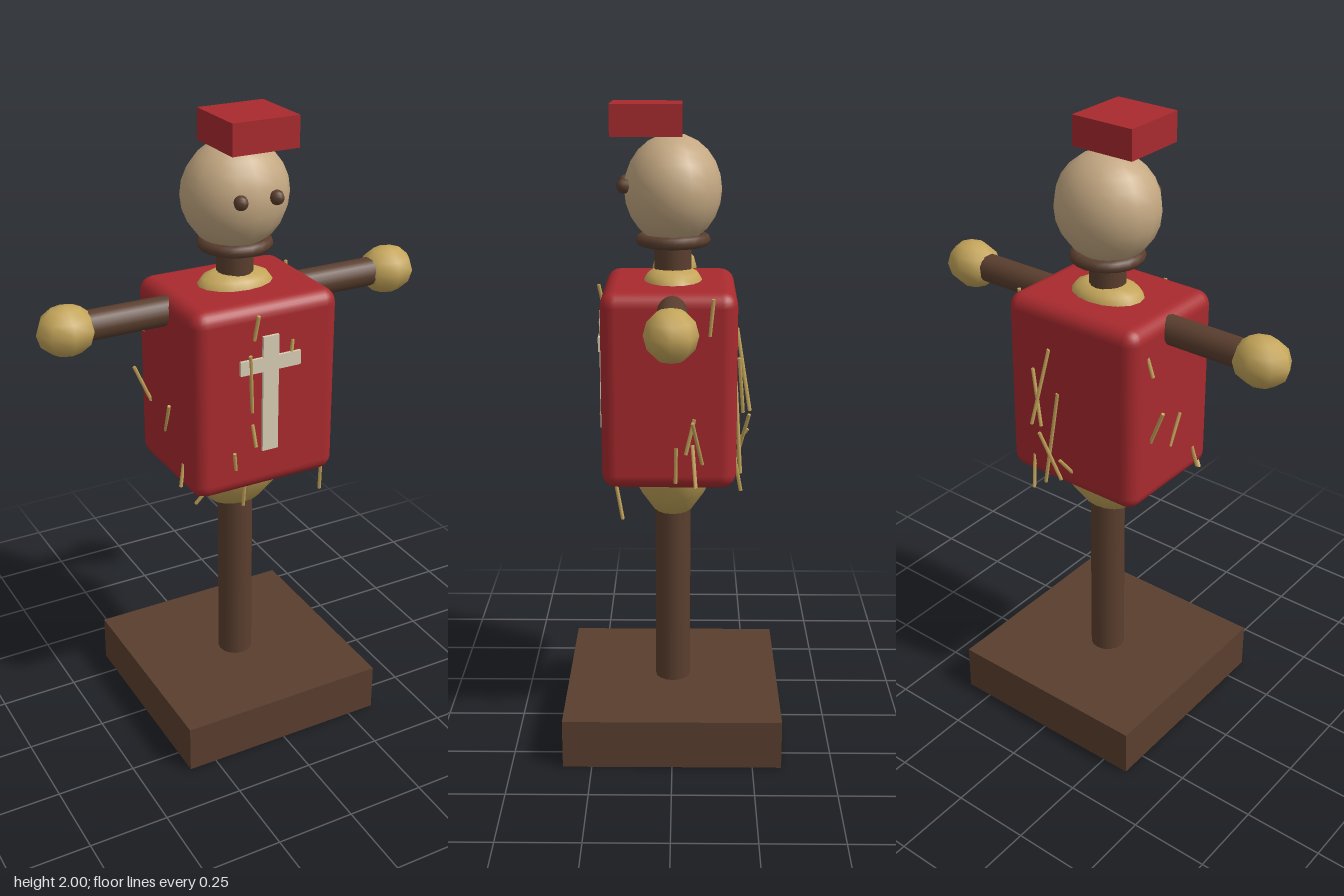
import * as THREE from 'three';
import { RoundedBoxGeometry } from 'three/addons/geometries/RoundedBoxGeometry.js';

export function createModel() {
  const model = new THREE.Group();
  model.name = 'trainingDummy';

  const material = (name, color, side = THREE.FrontSide) => {
    const m = new THREE.MeshStandardMaterial({ color, side });
    m.name = name;
    return m;
  };
  const wood = material('darkWood', 0x5a3e2e);
  const straw = material('straw', 0xc4a55a, THREE.DoubleSide);
  const burlap = material('burlap', 0xc4a882);
  const red = material('redCloth', 0xa82a2e);
  const pale = material('paleCloth', 0xd8cdb4);

  const add = (name, geometry, mat, x = 0, y = 0, z = 0, parent = model) => {
    const mesh = new THREE.Mesh(geometry, mat);
    mesh.name = name;
    mesh.position.set(x, y, z);
    parent.add(mesh);
    return mesh;
  };

  // Wooden stand: base, upright post and crossbar
  add('base', new THREE.BoxGeometry(0.68, 0.155, 0.68), wood, 0, 0.0775, 0);
  add('post', new THREE.CylinderGeometry(0.056, 0.056, 1.5, 16), wood, 0, 0.9, 0);
  add('crossbar', new THREE.CylinderGeometry(0.045, 0.045, 1.0, 16), wood, 0, 1.422, 0).rotation.z = Math.PI / 2;

  // Straw bundles on the ends of the crossbar
  for (const side of [-1, 1]) {
    const hand = add(side > 0 ? 'leftHand' : 'rightHand', new THREE.SphereGeometry(0.076, 8, 6), straw, side * 0.543, 1.42, 0);
    hand.scale.x = 1.2;
  }

  // Straw stuffing showing above and below the tunic
  const profile = [
    [0.01, 0.745], [0.085, 0.745], [0.14, 0.805], [0.19, 0.875], [0.215, 1.0],
    [0.21, 1.3], [0.12, 1.475], [0.105, 1.495], [0.07, 1.51], [0.01, 1.512],
  ].map(([r, y]) => new THREE.Vector2(r, y));
  add('stuffing', new THREE.LatheGeometry(profile, 16), straw).scale.z = 0.74;

  // Tunic with its cross emblem
  add('tunic', new RoundedBoxGeometry(0.482, 0.6, 0.405, 3, 0.045), red, 0, 1.175, 0.01);
  const cross = new THREE.Shape([
    [-0.026, 1.01], [0.026, 1.01], [0.026, 1.27], [0.1, 1.27], [0.1, 1.315], [0.026, 1.315],
    [0.026, 1.38], [-0.026, 1.38], [-0.026, 1.315], [-0.1, 1.315], [-0.1, 1.27], [-0.026, 1.27],
  ].map(([x, y]) => new THREE.Vector2(x, y)));
  add('crossEmblem', new THREE.ExtrudeGeometry(cross, { depth: 0.009, bevelEnabled: false }), pale, 0, 0, 0.217);

  // Head, neck tie, eyes and cap
  add('head', new THREE.SphereGeometry(0.165, 16, 12), burlap, 0, 1.747, 0).scale.z = 0.89;
  const tie = add('neckTie', new THREE.TorusGeometry(0.095, 0.019, 8, 20), wood, 0, 1.597, 0);
  tie.rotation.x = Math.PI / 2;
  for (const side of [-1, 1]) {
    add(side > 0 ? 'leftEye' : 'rightEye', new THREE.SphereGeometry(0.022, 8, 8), wood, side * 0.058, 1.762, 0.145);
  }
  add('cap', new THREE.BoxGeometry(0.212, 0.092, 0.212), red, 0, 1.954, 0.078);

  // Loose stalks poking out of the tunic, each from one end to the other
  const stalks = new THREE.Group();
  stalks.name = 'looseStalks';
  model.add(stalks);
  const addStalk = (x0, y0, z0, x1, y1, z1) => {
    const a = new THREE.Vector3(x0, y0, z0), b = new THREE.Vector3(x1, y1, z1);
    const dir = b.clone().sub(a);
    const mid = a.add(b).multiplyScalar(0.5);
    const stalk = add('stalk', new THREE.CylinderGeometry(0.006, 0.006, dir.length(), 5), straw, mid.x, mid.y, mid.z, stalks);
    stalk.quaternion.setFromUnitVectors(new THREE.Vector3(0, 1, 0), dir.normalize());
  };
  // front
  addStalk(-0.045, 1.45, 0.23, -0.05, 1.37, 0.213);
  addStalk(-0.07, 1.33, 0.228, -0.055, 1.14, 0.213);
  addStalk(0.078, 1.35, 0.214, 0.07, 1.3, 0.22);
  addStalk(-0.055, 1.1, 0.214, -0.05, 1.03, 0.228);
  addStalk(-0.118, 1.02, 0.22, -0.11, 0.96, 0.212);
  addStalk(-0.05, 0.89, 0.16, -0.05, 0.79, 0.148);
  addStalk(0.215, 0.89, 0.17, 0.225, 0.78, 0.15);
  addStalk(-0.21, 0.89, 0.19, -0.23, 0.8 + 0.06, 0.18);
  // back
  addStalk(0.07, 1.34, -0.195, 0.11, 1.09, -0.235);
  addStalk(0.13, 1.26, -0.2, 0.09, 1.08, -0.215);
  addStalk(0.04, 1.2, -0.192, 0.08, 0.88, -0.21);
  addStalk(0.08, 1.07, -0.235, 0.03, 0.9, -0.195);
  addStalk(0, 1.0, -0.235, -0.01, 0.94, -0.19);
  addStalk(0.14, 0.95, -0.19, 0.13, 0.84, -0.21);
  // left side
  addStalk(0.285, 1.1, -0.06, 0.24, 0.96, -0.09);
  addStalk(0.24, 1.02, -0.06, 0.29, 0.9, -0.07);
  addStalk(0.245, 1.46, -0.12, 0.24, 1.35, -0.11);
  addStalk(0.243, 1.1, -0.065, 0.24, 0.99, -0.04);
  addStalk(0.243, 1.01, -0.012, 0.24, 0.9, -0.01);
  // right side
  addStalk(-0.29, 1.21, -0.11, -0.24, 1.09, -0.1);
  addStalk(-0.24, 0.97, 0.12, -0.255, 0.9, 0.13);
  addStalk(-0.238, 1.38, -0.12, -0.255, 1.32, -0.115);
  addStalk(-0.245, 1.13, 0.04, -0.24, 1.03, 0.0);

  return model;
}
